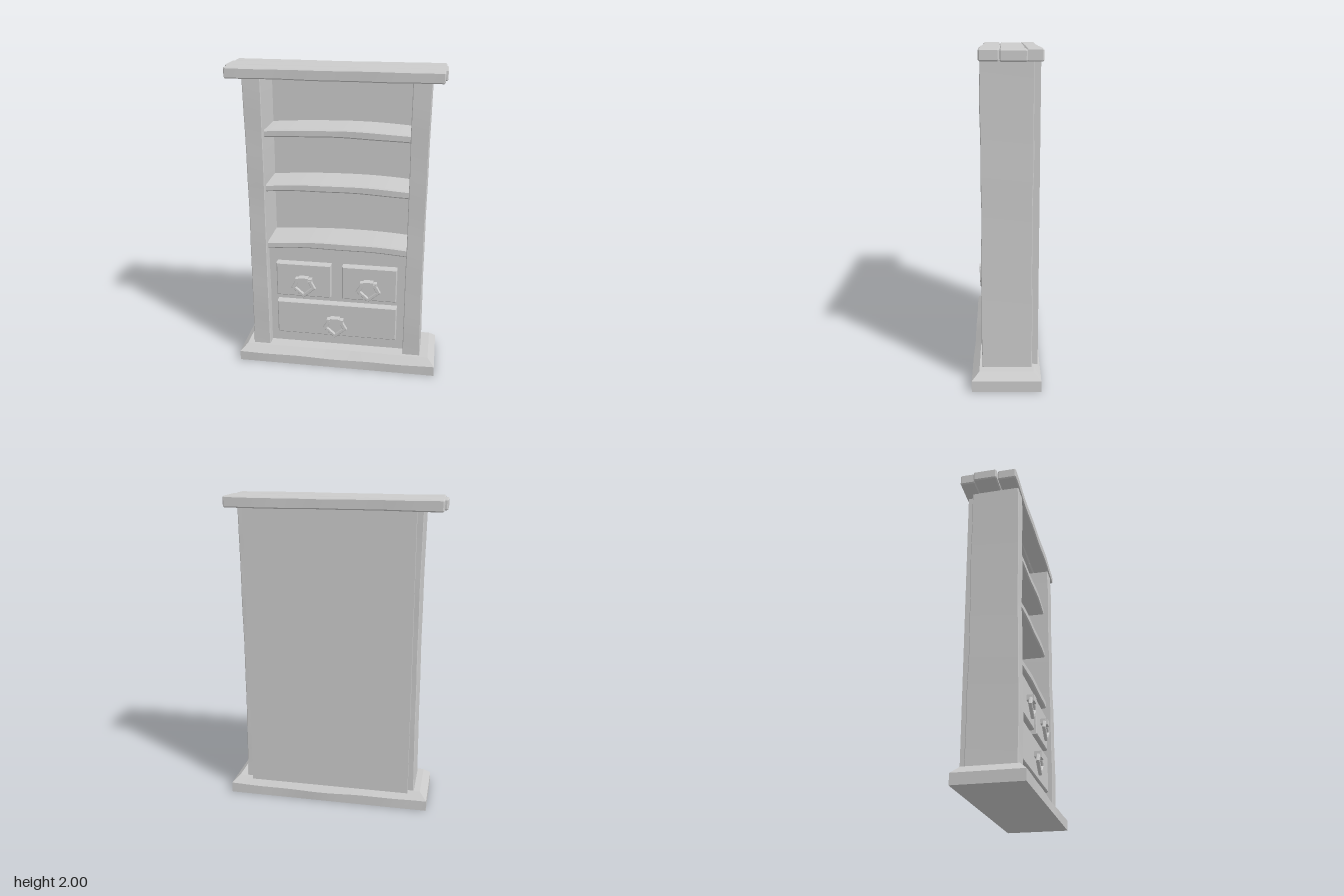
import * as THREE from 'three';
import { toCreasedNormals } from 'three/addons/utils/BufferGeometryUtils.js';

const material = new THREE.MeshStandardMaterial({ color: 0xcccccc });

function add(parent, name, geometry, x = 0, y = 0, z = 0) {
  const mesh = new THREE.Mesh(geometry, material);
  mesh.name = name;
  mesh.position.set(x, y, z);
  parent.add(mesh);
  return mesh;
}

// Box given by its limits
function block(parent, name, x0, x1, y0, y1, z0, z1) {
  return add(parent, name, new THREE.BoxGeometry(x1 - x0, y1 - y0, z1 - z0),
    (x0 + x1) / 2, (y0 + y1) / 2, (z0 + z1) / 2);
}

// Move every vertex by a rule, then smooth all but the sharp edges
function reshape(geometry, rule) {
  const p = geometry.attributes.position;
  const v = new THREE.Vector3();
  for (let i = 0; i < p.count; i++) {
    v.fromBufferAttribute(p, i);
    rule(v);
    p.setXYZ(i, v.x, v.y, v.z);
  }
  return toCreasedNormals(geometry, 0.5);
}

// Uneven, hand-cut wave along a plank
const wave = (t, seed) =>
  0.6 * Math.sin(t * 5.3 + seed * 2.1) + 0.4 * Math.sin(t * 13.7 + seed * 4.7);

// Worn plank along x with chamfered edges; arch lifts its middle
function plankGeometry(length, height, depth, chamfer, seed, wear, arch = 0) {
  const a = depth / 2, b = height / 2, c = chamfer;
  const section = new THREE.Shape([
    [-a + c, -b], [a - c, -b], [a, -b + c], [a, b - c],
    [a - c, b], [-a + c, b], [-a, b - c], [-a, -b + c],
  ].map(([x, y]) => new THREE.Vector2(x, y)));
  const geometry = new THREE.ExtrudeGeometry(section, {
    depth: length - 2 * c, steps: 24, bevelSegments: 1,
    bevelThickness: c, bevelSize: c, bevelOffset: -c,
  });
  geometry.translate(0, 0, c - length / 2).rotateY(Math.PI / 2);
  return reshape(geometry, (v) => {
    const t = v.x;
    v.z += wear * wave(t, seed + (v.z > 0 ? 1 : 0));
    v.y += 0.4 * wear * wave(t, seed + 3 + (v.y > 0 ? 1 : 0));
    v.y += arch * (1 - (2 * t / length) ** 2);
  });
}

// Plinth with a sloping upper edge
function addBase(group) {
  const geometry = new THREE.BoxGeometry(1.325, 2, 0.415, 24, 2, 8);
  reshape(geometry, () => {});
  const base = reshape(geometry, (v) => {
    const edge = v.y > 0.5 ? 0.045 : 0;
    const t = v.x;
    const front = Math.abs(v.z) > 0.2;
    v.x *= 1 - edge / 0.6625;
    v.z *= 1 - edge / 0.2075;
    if (front && v.y > -0.5) v.z += 0.003 * wave(t, 2);
    v.y = v.y < -0.5 ? 0 : v.y < 0.5 ? 0.063 + 0.005 * wave(t, 5) : 0.11;
  });
  add(group, 'base', base, 0.022, 0, 0.002);
}

// Pentagonal pull ring hanging from a small bracket
function addHandle(parent, x, y, z) {
  const handle = new THREE.Group();
  handle.name = 'drawerHandle';
  handle.position.set(x, y, z);
  const outline = [[-0.05, 0.05], [-0.08, -0.005], [0, -0.075], [0.08, -0.005], [0.05, 0.05]];
  const points = (s) => outline.map(([px, py]) => new THREE.Vector2(px * s, py * s));
  const shape = new THREE.Shape(points(0.96));
  shape.holes.push(new THREE.Path(points(0.7)));
  const ring = new THREE.ExtrudeGeometry(shape, {
    depth: 0.012, bevelSegments: 1, bevelThickness: 0.005, bevelSize: 0.004,
  });
  add(handle, 'pullRing', ring, 0, 0, 0.02);
  block(handle, 'bracket', -0.032, 0.032, 0.028, 0.068, -0.005, 0.043);
  for (const s of [-1, 1]) {
    block(handle, 'bracketLug', s * 0.043 - 0.012, s * 0.043 + 0.012, 0.026, 0.058, -0.005, 0.036);
  }
  parent.add(handle);
}

// Drawer front with its handle
function addDrawer(group, x0, x1, y0, y1, handleX, handleY) {
  const drawer = new THREE.Group();
  drawer.name = 'drawer';
  const c = 0.006;
  const w = x1 - x0 - 2 * c, h = y1 - y0 - 2 * c;
  const shape = new THREE.Shape([
    new THREE.Vector2(0, 0), new THREE.Vector2(w, 0),
    new THREE.Vector2(w, h), new THREE.Vector2(0, h),
  ]);
  const geometry = new THREE.ExtrudeGeometry(shape, {
    depth: 0.05, bevelSegments: 1, bevelThickness: c, bevelSize: c,
  });
  add(drawer, 'drawerFront', geometry, x0 + c, y0 + c, 0.074);
  addHandle(drawer, handleX, handleY, 0.13);
  group.add(drawer);
}

export function createModel() {
  const group = new THREE.Group();
  group.name = 'bookcase';

  addBase(group);

  // Upright side boards, slightly flared at both ends
  for (const [name, x, seed] of [['rightPost', -0.494, 1], ['leftPost', 0.524, 4]]) {
    const post = plankGeometry(1.84, 0.108, 0.3, 0.004, seed, 0.004);
    post.rotateZ(Math.PI / 2);
    const side = Math.sign(x);
    const flared = reshape(post, (v) => {
      if (v.x * side > 0) v.x += side * 0.008 * Math.abs(v.y / 0.92) ** 5;
    });
    add(group, name, flared, x, 1.02, 0);
  }

  block(group, 'backPanel', -0.515, 0.54, 0.105, 1.935, -0.188, -0.145);

  // Shelves with a gentle arch
  [0.835, 1.23, 1.585].forEach((y, i) => {
    add(group, 'shelf', plankGeometry(0.93, 0.05, 0.26, 0.008, i * 3 + 2, 0.006, 0.018), 0.015, y, -0.018);
  });

  // Drawer case and drawers
  block(group, 'drawerCase', -0.45, 0.48, 0.1, 0.822, -0.15, 0.08);
  addDrawer(group, -0.385, -0.02, 0.485, 0.72, -0.198, 0.57);
  addDrawer(group, 0.055, 0.415, 0.485, 0.72, 0.232, 0.57);
  addDrawer(group, -0.385, 0.42, 0.2, 0.438, 0.012, 0.282);

  // Three uneven top boards: x limits, z limits
  [
    [-0.67, 0.66, -0.198, -0.106],
    [-0.688, 0.67, -0.108, 0.042],
    [-0.664, 0.656, 0.04, 0.158],
  ].forEach(([x0, x1, z0, z1], i) => {
    const geometry = plankGeometry(x1 - x0, 0.068, z1 - z0, 0.007, i * 2 + 1, 0.004);
    add(group, 'topBoard', geometry, (x0 + x1) / 2, 1.964, (z0 + z1) / 2);
  });

  return group;
}
